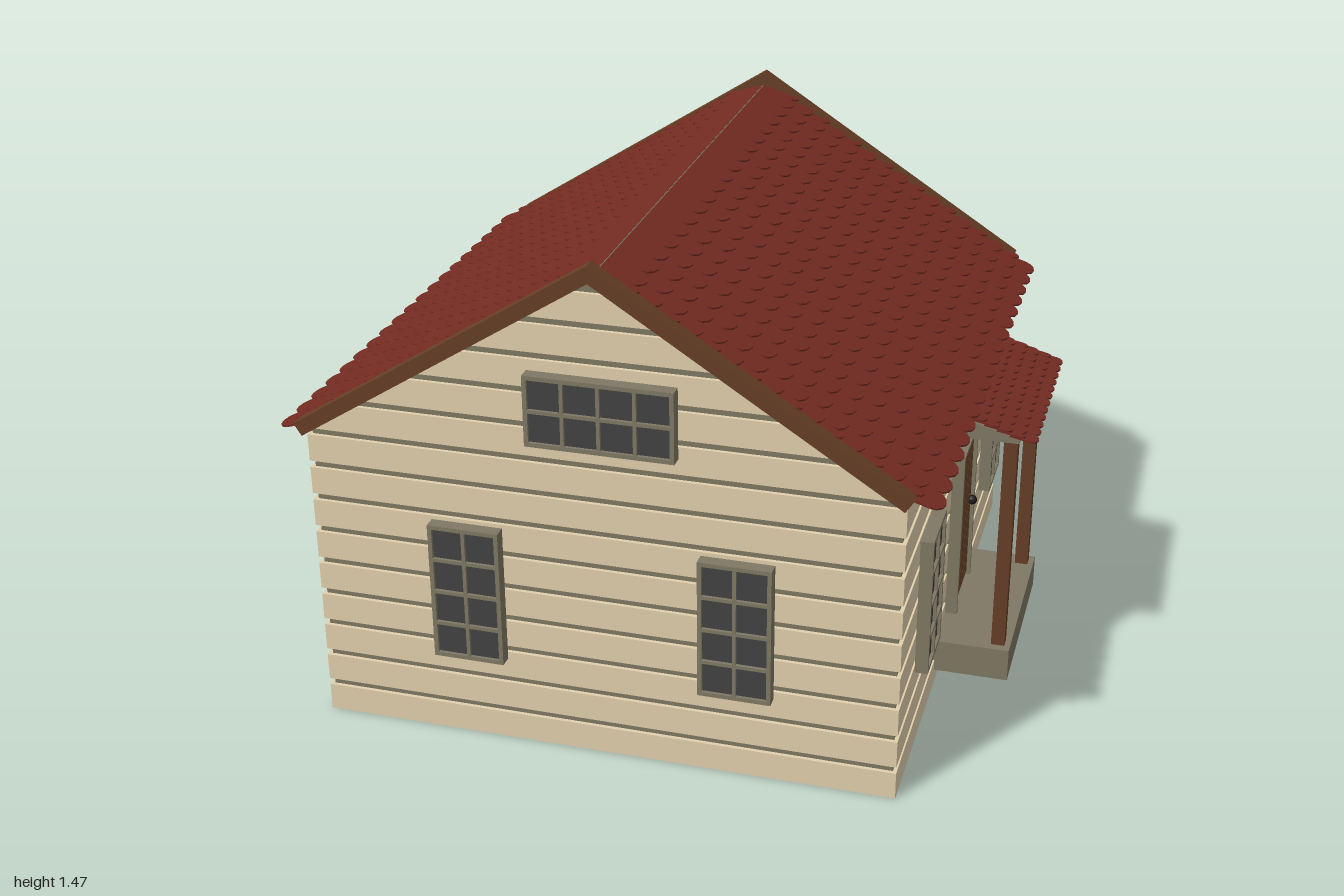
import * as THREE from 'three';
import { mergeGeometries } from 'three/addons/utils/BufferGeometryUtils.js';

const mat = (color, side = THREE.FrontSide) =>
  new THREE.MeshStandardMaterial({ color, flatShading: true, side });
const LOG = mat(0xe2d0ad), GREY = mat(0x7f7864), WOOD = mat(0x663f26), DOOR = mat(0x6c452a);
const GLASS = mat(0x424244), ROOF = mat(0x732b22, THREE.DoubleSide), DARK = mat(0x1c1a18);

// House outline
const CX = -0.0825, HALF = 0.8275, Z0 = -0.88, Z1 = 0.877;
const SLOPE = 0.64, RIDGE = 1.469, APEX = 1.43;

function add(parent, name, geometry, material) {
  const mesh = new THREE.Mesh(geometry, material);
  mesh.name = name;
  parent.add(mesh);
  return mesh;
}

// Box given by its min and max corners
function box(parent, name, material, x0, x1, y0, y1, z0, z1) {
  const mesh = add(parent, name, new THREE.BoxGeometry(x1 - x0, y1 - y0, z1 - z0), material);
  mesh.position.set((x0 + x1) / 2, (y0 + y1) / 2, (z0 + z1) / 2);
  return mesh;
}

// Polygon in x, y extruded from z0 to z1
function prism(points, z0, z1) {
  const shape = new THREE.Shape(points.map(p => new THREE.Vector2(...p)));
  return new THREE.ExtrudeGeometry(shape, { depth: z1 - z0, bevelEnabled: false }).translate(0, 0, z0);
}

// Half width of the wall at height y, narrowing in the gable
const halfAt = y => Math.min(HALF, (APEX - y) / SLOPE);

function walls() {
  const g = new THREE.Group();
  g.name = 'walls';
  const inset = 0.011, h = HALF - inset, eave = APEX - SLOPE * h, floor = 0.04;
  add(g, 'wallCore', prism([[CX - h, floor], [CX + h, floor], [CX + h, eave], [CX, APEX], [CX - h, eave]],
    Z0 + inset, Z1 - inset), GREY);
  // Lowest boards form an open ring below the raised floor
  const x0 = CX - HALF, x1 = CX + HALF, t = 0.014;
  for (const x of [x0, x1 - t]) box(g, 'baseBoard', LOG, x, x + t, 0, 0.08, Z0, Z1);
  for (const z of [Z0, Z1 - t]) box(g, 'baseBoard', LOG, x0 + t, x1 - t, 0, 0.08, z, z + t);
  // Boards every 0.1, with a recessed gap between them
  for (let k = 1; k < 14; k++) {
    const y0 = k * 0.1, y1 = y0 + 0.08;
    const a = halfAt(y0), b = halfAt(y1);
    add(g, 'wallBoard', prism([[CX - a, y0], [CX + a, y0], [CX + b, y1], [CX - b, y1]], Z0, Z1), LOG);
  }
  return g;
}

// Window facing +z, its back on z = 0
function makeWindow(w, h, cols, rows) {
  const g = new THREE.Group();
  g.name = 'window';
  const frame = new THREE.Shape([[-1, -1], [1, -1], [1, 1], [-1, 1]]
    .map(([x, y]) => new THREE.Vector2(x * w / 2, y * h / 2)));
  const rim = 0.012, bar = 0.01;
  const pw = (w - 2 * rim - (cols - 1) * bar) / cols, ph = (h - 2 * rim - (rows - 1) * bar) / rows;
  for (let i = 0; i < cols; i++) for (let j = 0; j < rows; j++) {
    const x = -w / 2 + rim + i * (pw + bar), y = -h / 2 + rim + j * (ph + bar);
    frame.holes.push(new THREE.Path([[x, y], [x, y + ph], [x + pw, y + ph], [x + pw, y]]
      .map(p => new THREE.Vector2(...p))));
  }
  add(g, 'windowFrame', new THREE.ExtrudeGeometry(frame, { depth: 0.037, bevelEnabled: false }), GREY);
  box(g, 'windowGlass', GLASS, -w / 2 + 0.005, w / 2 - 0.005, -h / 2 + 0.005, h / 2 - 0.005, 0.002, 0.028);
  return g;
}

function windows() {
  const g = new THREE.Group();
  g.name = 'windows';
  const place = (x, y, z, turn, ...size) => {
    const win = makeWindow(...size);
    win.position.set(x, y, z);
    win.rotation.y = turn;
    g.add(win);
  };
  const tall = [0.203, 0.41, 2, 4], wide = [0.41, 0.203, 4, 2];
  for (const x of [-0.458, 0.302]) place(x, 0.464, Z1, 0, ...tall);
  for (const x of [-0.48, 0.38]) place(x, 0.464, Z0, Math.PI, ...tall);
  for (const z of [0.545, -0.578]) place(CX + HALF, 0.464, z, Math.PI / 2, ...tall);
  place(-0.063, 1.047, Z1, 0, ...wide);
  place(-0.07, 1.047, Z0, Math.PI, ...wide);
  return g;
}

// Thin tile with a rounded lower end, running along +x from the origin
function tile(length, width, tip, thickness) {
  const w = width / 2, points = [[0, -w]];
  for (let i = 0; i <= 6; i++) {
    const a = -Math.PI / 2 + i * Math.PI / 6;
    points.push([length - tip + Math.cos(a) * tip, Math.sin(a) * w]);
  }
  points.push([0, w]);
  return prism(points, 0, thickness).rotateX(-Math.PI / 2);
}

// Overlapping rows; each row's tips sit at tipAt(row) and every other row shifts by half a tile
function tileRows({ rows, count, z0, z1, length, drop, tipAt }) {
  const width = (z1 - z0) / count, parts = [];
  const angle = Math.atan(drop), base = tile(length, width, width * 0.38, 0.005).rotateZ(-angle);
  for (let r = 0; r < rows; r++) {
    const [tx, ty] = tipAt(r), odd = (rows - 1 - r) % 2;
    const x = tx - length * Math.cos(angle), y = ty + length * Math.sin(angle);
    for (let i = 0; i < count + odd; i++) {
      const t = base.clone();
      let z = z0 + (i + (odd ? 0 : 0.5)) * width;
      // Half tiles close the ends of the shifted rows
      if (odd && (i === 0 || i === count)) {
        t.scale(1, 1, 0.5);
        z += (i === 0 ? 1 : -1) * width / 4;
      }
      parts.push(t.translate(x, y, z));
    }
  }
  return mergeGeometries(parts);
}

function roof() {
  const g = new THREE.Group();
  g.name = 'roof';
  const ROWS = 16;
  const side = tileRows({
    rows: ROWS, count: 19, z0: -0.888, z1: 0.88, length: 0.125, drop: 0.31,
    tipAt: r => {
      const x = 0.12 + r * (0.9175 - 0.12) / (ROWS - 1);
      return [x, 1.463 - 0.63 * x];
    },
  });
  for (const turn of [0, Math.PI]) {
    const half = add(g, 'roofTiles', side, ROOF);
    half.rotation.y = turn;
    half.position.x = CX;
    // The far slope is turned about y, so realign its ends
    if (turn) half.position.z = -0.008;
  }
  // Gable boards, cut square at the eaves
  const t = 0.041, n = Math.hypot(1, SLOPE), reach = 0.849;
  const low = RIDGE - SLOPE * reach, inX = reach - t * SLOPE / n, inY = low - t / n;
  const barge = [[CX - reach, low], [CX - inX, inY], [CX, RIDGE - t * n],
    [CX + inX, inY], [CX + reach, low], [CX, RIDGE]];
  add(g, 'frontGableTrim', prism(barge, 0.871, 0.911), WOOD);
  add(g, 'backGableTrim', prism(barge, -0.918, -0.878), WOOD);
  return g;
}

function door() {
  const g = new THREE.Group();
  g.name = 'door';
  const x = CX + HALF;
  // Frame: two jambs and a lintel
  box(g, 'doorJamb', GREY, x - 0.01, x + 0.035, 0.145, 0.668, 0.108, 0.121);
  box(g, 'doorJamb', GREY, x - 0.01, x + 0.035, 0.145, 0.668, -0.139, -0.126);
  box(g, 'doorLintel', GREY, x - 0.01, x + 0.035, 0.655, 0.668, -0.126, 0.108);
  box(g, 'doorBacking', WOOD, x - 0.01, x + 0.016, 0.155, 0.655, -0.126, 0.108);
  const n = 5, w = 0.234 / n;
  for (let i = 0; i < n; i++) {
    const z = -0.126 + i * w;
    box(g, 'doorPlank', DOOR, x, x + 0.024, 0.16, 0.655, z + 0.002, z + w - 0.002);
  }
  const knob = add(g, 'doorKnob', new THREE.SphereGeometry(0.015, 12, 8), DARK);
  knob.position.set(x + 0.033, 0.422, -0.097);
  return g;
}

function porch() {
  const g = new THREE.Group();
  g.name = 'porch';
  const x = CX + HALF;
  box(g, 'porchStep', GREY, x - 0.01, 0.96, 0.047, 0.146, -0.292, 0.287);
  for (const z of [0.242, -0.255])
    box(g, 'porchPost', WOOD, 0.904, 0.943, 0.146, 0.818, z - 0.019, z + 0.019);
  add(g, 'porchCanopy', prism([[x - 0.01, 0.814], [0.95, 0.814], [0.95, 0.826], [x - 0.01, 0.889]],
    -0.292, 0.287), GREY);
  add(g, 'porchTiles', tileRows({
    rows: 6, count: 12, z0: -0.303, z1: 0.293, length: 0.08, drop: 0.2,
    tipAt: r => [0.82 + r * 0.036, 0.82 + 0.34 * (0.18 - r * 0.036)],
  }), ROOF);
  return g;
}

export function createModel() {
  const house = new THREE.Group();
  house.name = 'cabin';
  house.add(walls(), windows(), roof(), door(), porch());
  return house;
}
